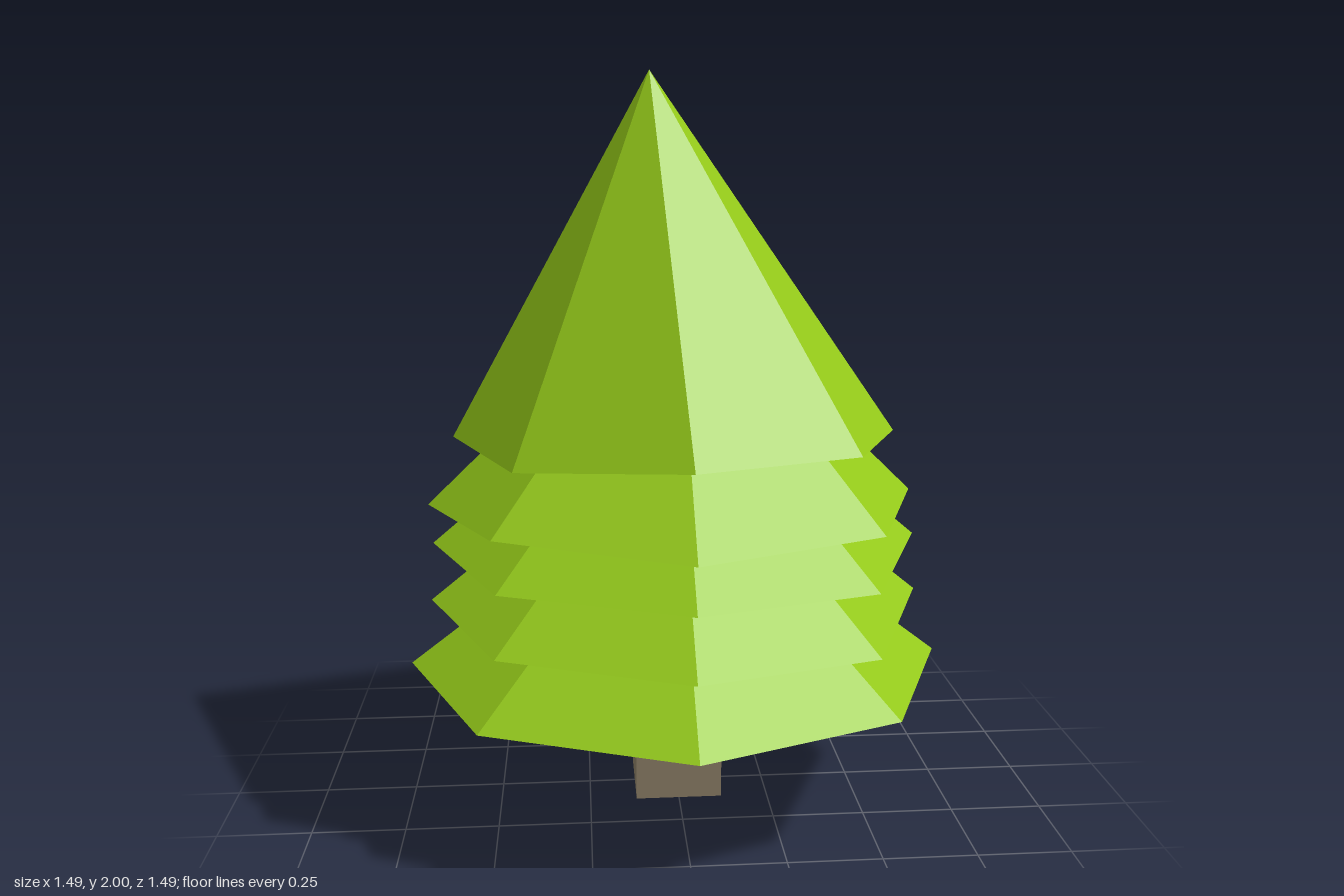
import * as THREE from 'three';

const SIDES = 8;

// Eight-sided cone with an uneven rim; rim[i] is the height of corner i,
// counted from +x towards +z, and radii[i] replaces its radius.
function tierGeometry({ radius, radii = {}, rim, apex }) {
  const corners = rim.map((y, i) => {
    const a = (i / SIDES) * Math.PI * 2;
    const r = radii[i] ?? radius;
    return [Math.cos(a) * r, y, Math.sin(a) * r];
  });
  const centre = [0, rim.reduce((s, y) => s + y, 0) / SIDES, 0];
  const positions = [];
  corners.forEach((p, i) => {
    const q = corners[(i + 1) % SIDES];
    positions.push(...apex, ...q, ...p); // sloping face
    positions.push(...centre, ...p, ...q); // underside
  });
  const geometry = new THREE.BufferGeometry();
  geometry.setAttribute('position', new THREE.Float32BufferAttribute(positions, 3));
  geometry.computeVertexNormals();
  return geometry;
}

// Branch tiers from the ground up
const TIERS = [
  { radius: 0.747, apex: [0, 0.95, 0], rim: [0.38, 0.39, 0.395, 0.39, 0.38, 0.335, 0.335, 0.335] },
  { radius: 0.685, radii: { 6: 0.635 }, apex: [0, 1.12, 0], rim: [0.565, 0.54, 0.565, 0.565, 0.565, 0.565, 0.565, 0.565] },
  { radius: 0.675, apex: [0, 1.3, 0], rim: [0.73, 0.71, 0.73, 0.73, 0.73, 0.73, 0.72, 0.73] },
  { radius: 0.685, radii: { 0: 0.66 }, apex: [0, 1.5, 0], rim: [0.86, 0.86, 0.855, 0.87, 0.84, 0.84, 0.84, 0.855] },
  { radius: 0.61, apex: [-0.07, 2, 0], rim: [1.03, 1.05, 1.055, 1.025, 1.03, 1.02, 1.0, 1.0] },
];

export function createModel() {
  const tree = new THREE.Group();
  tree.name = 'tree';
  const leafMaterial = new THREE.MeshStandardMaterial({ color: 0x93c819, flatShading: true });
  const barkMaterial = new THREE.MeshStandardMaterial({ color: 0x8c7e66, flatShading: true });

  // Square trunk, its top buried in the lowest tier
  const trunk = new THREE.Mesh(new THREE.BoxGeometry(0.24, 0.5, 0.24), barkMaterial);
  trunk.name = 'trunk';
  trunk.position.y = 0.25;
  tree.add(trunk);

  TIERS.forEach((tier, i) => {
    const mesh = new THREE.Mesh(tierGeometry(tier), leafMaterial);
    mesh.name = i === TIERS.length - 1 ? 'treetop' : `branchTier${i + 1}`;
    tree.add(mesh);
  });
  return tree;
}
